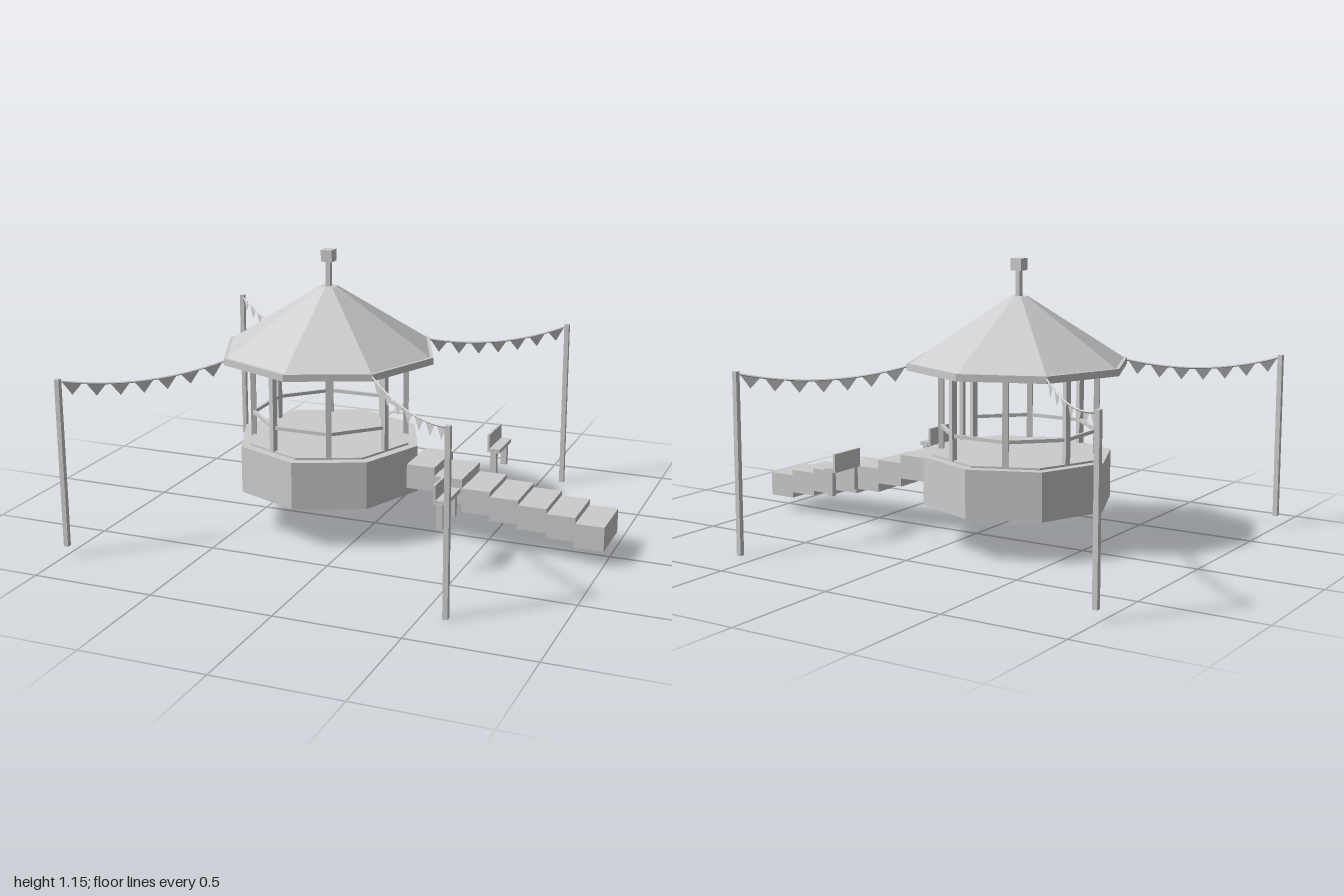
import * as THREE from 'three';

export function createModel() {
  const model = new THREE.Group();
  model.name = 'bandstand';
  const grey = new THREE.MeshStandardMaterial({ color: 0xcccccc, flatShading: true, side: THREE.DoubleSide });
  grey.name = 'plain grey';
  const CX = -0.2; // pavilion axis

  const add = (parent, name, geo, x = 0, y = 0, z = 0, ry = 0) => {
    const m = new THREE.Mesh(geo, grey);
    m.name = name;
    m.position.set(x, y, z);
    m.rotation.y = ry;
    parent.add(m);
    return m;
  };
  const box = (w, h, d) => new THREE.BoxGeometry(w, h, d);
  // eight-sided drum standing between two heights
  const octagon = (parent, name, rTop, rBottom, y0, y1) =>
    add(parent, name, new THREE.CylinderGeometry(rTop, rBottom, y1 - y0, 8), 0, (y0 + y1) / 2, 0);

  // Pavilion: base, floor, roof and finial
  const pavilion = new THREE.Group();
  pavilion.name = 'pavilion';
  pavilion.position.x = CX;
  model.add(pavilion);
  octagon(pavilion, 'base', 0.388, 0.388, 0.167, 0.362);
  octagon(pavilion, 'floor', 0.348, 0.348, 0.355, 0.37);
  octagon(pavilion, 'eave', 0.452, 0.452, 0.711, 0.739);
  octagon(pavilion, 'roof', 0.036, 0.438, 0.739, 0.996);
  add(pavilion, 'finialPole', box(0.02, 0.12, 0.02), 0, 1.045, 0);
  add(pavilion, 'finialBlock', box(0.048, 0.048, 0.048), 0, 1.122, 0);

  // Posts, with rails on every side but the entrance
  const R = 0.315;
  for (let i = 0; i < 8; i++) {
    const a = (i + 0.5) * Math.PI / 4;
    add(pavilion, 'post', box(0.022, 0.35, 0.022), R * Math.cos(a), 0.54, R * Math.sin(a), -a);
    if (i === 7) continue;
    const mid = (i + 1) * Math.PI / 4;
    const r = R * Math.cos(Math.PI / 8);
    add(pavilion, 'rail', box(0.012, 0.014, 2 * R * Math.sin(Math.PI / 8)),
      r * Math.cos(mid), 0.465, r * Math.sin(mid), -mid);
  }

  // Steps leading down from the entrance
  [0.318, 0.283, 0.246, 0.226, 0.207, 0.187, 0.163].forEach((top, i) => {
    add(model, 'step', box(0.118, 0.1, 0.228), 0.243 + i * 0.1163, top - 0.05, 0);
  });

  // Two benches beside the steps
  for (const side of [1, -1]) {
    const bench = new THREE.Group();
    bench.name = 'bench';
    bench.position.set(0.432, 0, side * 0.337);
    model.add(bench);
    add(bench, 'benchSeat', box(0.054, 0.016, 0.165), 0, 0.291, 0);
    add(bench, 'benchBack', box(0.01, 0.066, 0.165), -0.022, 0.327, 0);
    for (const s of [1, -1]) add(bench, 'benchLeg', box(0.026, 0.1, 0.022), 0, 0.236, s * 0.073);
  }

  // Corner poles with strings of flags to the roof corners
  const FLAGS = 7;
  for (const sx of [-1, 1]) for (const sz of [-1, 1]) {
    const bottom = sx < 0 ? 0.045 : 0;
    add(model, 'pole', box(0.02, 0.728 - bottom, 0.02), CX + sx * 0.79, (0.728 + bottom) / 2, sz * 0.79);

    const point = (d, y) => new THREE.Vector3(CX + sx * d, y, sz * d);
    const curve = new THREE.QuadraticBezierCurve3(point(0.785, 0.718), point(0.552, 0.645), point(0.318, 0.728));
    add(model, 'string', new THREE.TubeGeometry(curve, 16, 0.004, 4));

    for (let i = 0; i < FLAGS; i++) {
      const a = curve.getPoint((i + 0.08) / FLAGS);
      const b = curve.getPoint((i + 0.92) / FLAGS);
      const tip = a.clone().add(b).multiplyScalar(0.5);
      tip.y -= 0.05;
      const geo = new THREE.BufferGeometry().setFromPoints([a, tip, b]);
      geo.computeVertexNormals();
      add(model, 'flag', geo);
    }
  }
  return model;
}
